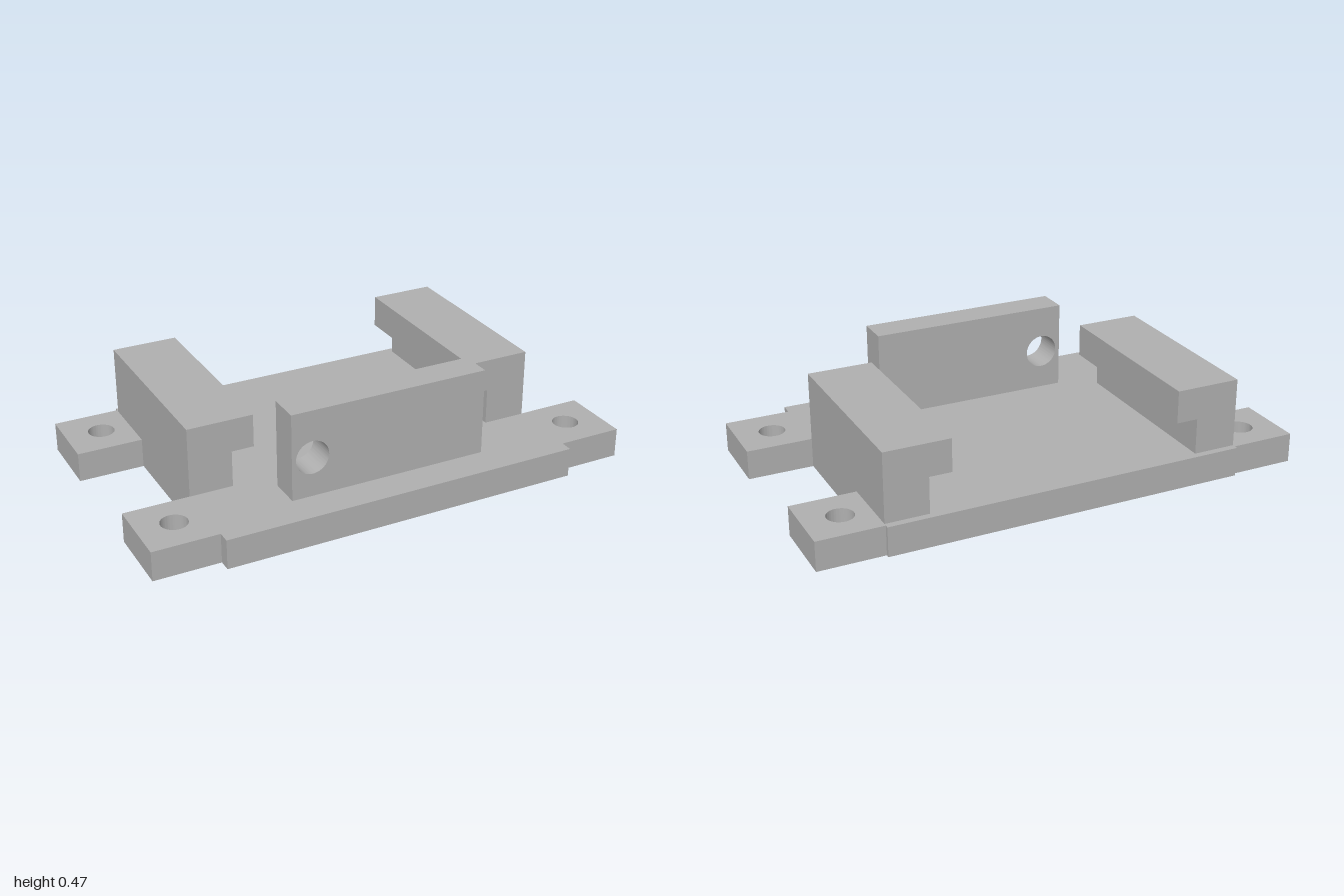
import * as THREE from 'three';
import { toCreasedNormals } from 'three/addons/utils/BufferGeometryUtils.js';

const BASE = 0.12; // thickness of the base plate

function outline(points, holes = []) {
  const shape = new THREE.Shape(points.map(([x, y]) => new THREE.Vector2(x, y)));
  for (const [x, y, r] of holes) {
    shape.holes.push(new THREE.Path().absarc(x, y, r, 0, Math.PI * 2, true));
  }
  return shape;
}

function extrude(shape, depth) {
  const geometry = new THREE.ExtrudeGeometry(shape, { depth, bevelEnabled: false, curveSegments: 40 });
  return toCreasedNormals(geometry, 0.5);
}

export function createModel() {
  const group = new THREE.Group();
  const grey = new THREE.MeshStandardMaterial({ color: 0xb0b0b0 });
  grey.name = 'plain grey';

  const add = (name, geometry) => {
    const mesh = new THREE.Mesh(geometry, grey);
    mesh.name = name;
    group.add(mesh);
    return mesh;
  };

  // Base plate with four drilled mounting ears; half outline as (x, z), front to back
  const half = [
    [0.735, 0.575], [0.735, 0.525], [1, 0.525], [1, 0.232], [0.735, 0.232],
    [0.735, -0.27], [1, -0.27], [1, -0.56], [0.735, -0.56], [0.735, -0.575],
  ];
  const right = half.map(([x, z]) => [x, -z]);
  const left = right.map(([x, y]) => [-x, y]).reverse();
  const holes = [];
  for (const x of [-0.853, 0.853]) {
    for (const z of [0.375, -0.417]) holes.push([x, -z, 0.053]);
  }
  add('basePlate', extrude(outline([...right, ...left], holes), BASE).rotateX(-Math.PI / 2));

  // Upright front plate with a round cable hole
  const wall = outline(
    [[-0.41, BASE], [0.41, BASE], [0.41, 0.475], [-0.41, 0.475]],
    [[-0.325, 0.282, 0.068]],
  );
  add('frontPlate', extrude(wall, 0.13)).position.z = 0.306;

  // Side rails with an inward lip along the top
  for (const [name, side] of [['leftRail', 1], ['rightRail', -1]]) {
    const profile = [
      [0.56, BASE], [0.735, BASE], [0.735, 0.4], [0.47, 0.4], [0.47, 0.267], [0.56, 0.267],
    ].map(([x, y]) => [x * side, y]);
    add(name, extrude(outline(profile), 0.78)).position.z = -0.547;
  }

  return group;
}
